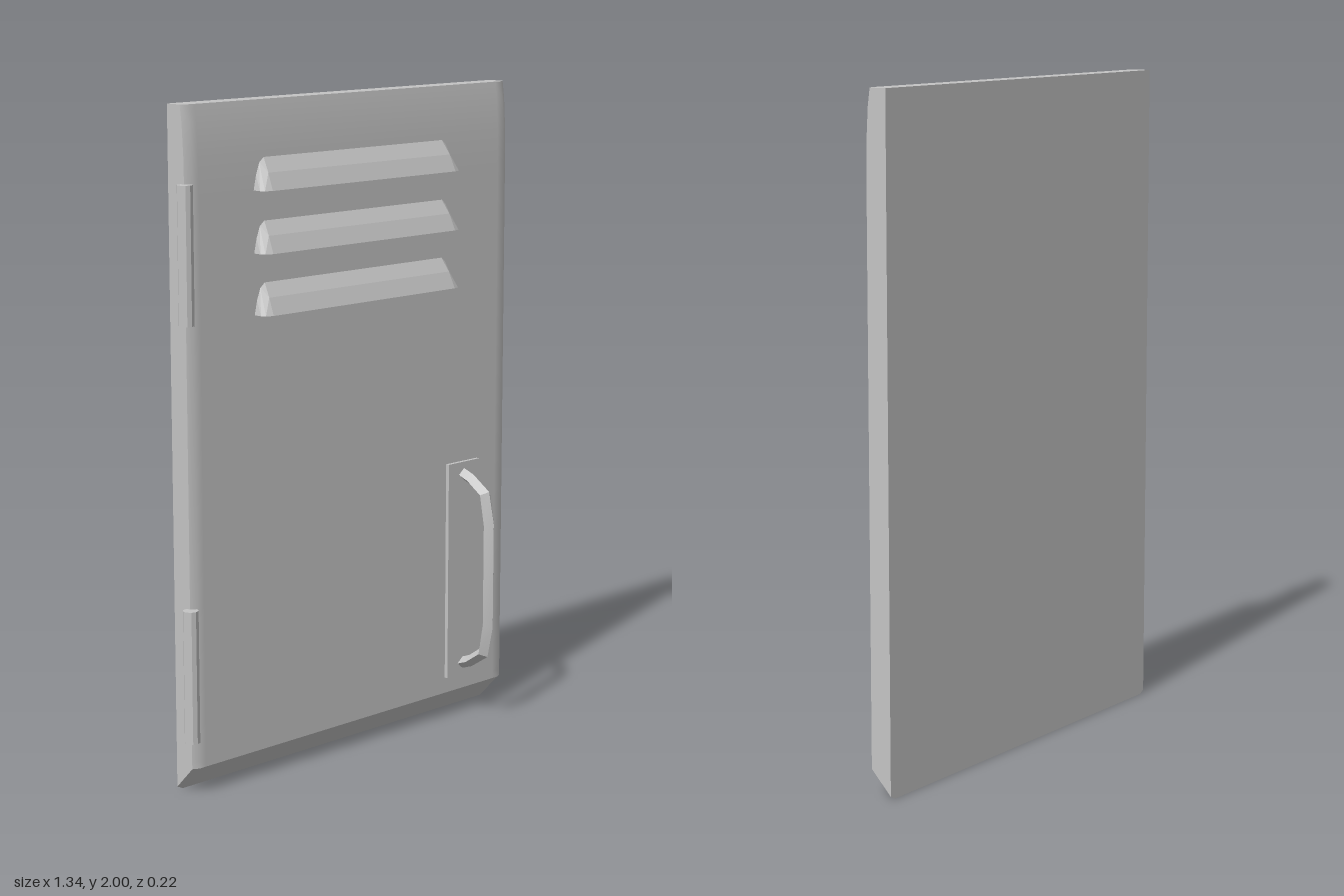
import * as THREE from 'three';
import { toCreasedNormals } from 'three/addons/utils/BufferGeometryUtils.js';
import { ConvexGeometry } from 'three/addons/geometries/ConvexGeometry.js';

// Joins equal-sized rings of [x, y, z] points into a closed solid
function loft(rings, crease) {
  const n = rings[0].length, last = (rings.length - 1) * n, index = [];
  for (let r = 0; r < rings.length - 1; r++) {
    for (let i = 0; i < n; i++) {
      const a = r * n + i, b = r * n + (i + 1) % n;
      index.push(a, b, b + n, a, b + n, a + n);
    }
  }
  for (let i = 1; i < n - 1; i++) {
    index.push(0, i + 1, i, last, last + i, last + i + 1);
  }
  const g = new THREE.BufferGeometry();
  g.setAttribute('position', new THREE.Float32BufferAttribute(rings.flat(2), 3));
  g.setIndex(index);
  return toCreasedNormals(g, crease);
}

export function createModel() {
  const model = new THREE.Group();
  model.name = 'lockerDoor';
  const steel = new THREE.MeshStandardMaterial({ color: 0xc4c4c4 });
  steel.name = 'greySteel';
  const add = (name, geometry, x = 0, y = 0, z = 0) => {
    const mesh = new THREE.Mesh(geometry, steel);
    mesh.name = name;
    mesh.position.set(x, y, z);
    model.add(mesh);
  };

  // Door panel: vertical profile swept across x, eased at the sides and top
  const profile = [[2, -0.11], [2, -0.046], [1.95, -0.039], [1.85, -0.033],
    [1.75, -0.032], [0.1, -0.032], [0.08, -0.032], [0.005, -0.11]];
  const columns = [[-0.645, 0.01], [-0.625, 0], [-0.6, 0], [0.625, 0], [0.65, 0], [0.67, 0.01]];
  add('doorPanel', loft(columns.map(([x, ease]) => profile.map(([y, z], i) => [
    x, i === 7 ? y + ease - 0.005 : y, z > -0.1 ? z - ease : z,
  ])), 0.5));

  // Vent louvres: wedge hoods with clipped ends
  for (const base of [1.745, 1.565, 1.387]) {
    const points = [];
    for (const side of [-1, 1]) {
      for (const [x, y, z] of [
        [0.405, 0, -0.04], [0.405, 0, -0.005], [0.398, 0, 0.008], [0.375, 0, 0.016],
        [0.395, 0.045, -0.034], [0.382, 0.08, -0.034], [0.365, 0.094, -0.034],
        [0.365, 0.094, -0.04], [0.372, 0.05, -0.006],
      ]) points.push(new THREE.Vector3(side * x, y, z));
    }
    add('ventLouvre', new ConvexGeometry(points), 0.01, base, 0);
  }

  // Hinge barrels
  for (const y of [1.583, 0.363]) {
    add('hinge', toCreasedNormals(new THREE.CylinderGeometry(0.023, 0.023, 0.395, 10), 0.3),
      -0.65, y, -0.033);
  }

  // Handle backplate
  add('handlePlate', new THREE.BoxGeometry(0.138, 0.694, 0.022), 0.472, 0.478, -0.031);

  // Pull handle: diamond section following a bracket-shaped path
  const outer = [[-0.022, 0.15], [0.02, 0.165], [0.088, 0.21], [0.109, 0.31],
    [0.109, 0.645], [0.088, 0.745], [0.02, 0.79], [-0.022, 0.805]];
  const inner = [[-0.022, 0.188], [0.01, 0.2], [0.053, 0.23], [0.067, 0.318],
    [0.067, 0.637], [0.053, 0.725], [0.01, 0.755], [-0.022, 0.767]];
  add('pullHandle', loft(outer.map(([oz, oy], i) => {
    const [iz, iy] = inner[i], mz = (oz + iz) / 2, my = (oy + iy) / 2;
    return [[0, oy, oz], [0.023, my, mz], [0, iy, iz], [-0.023, my, mz]];
  }), 0.4), 0.472);

  return model;
}
